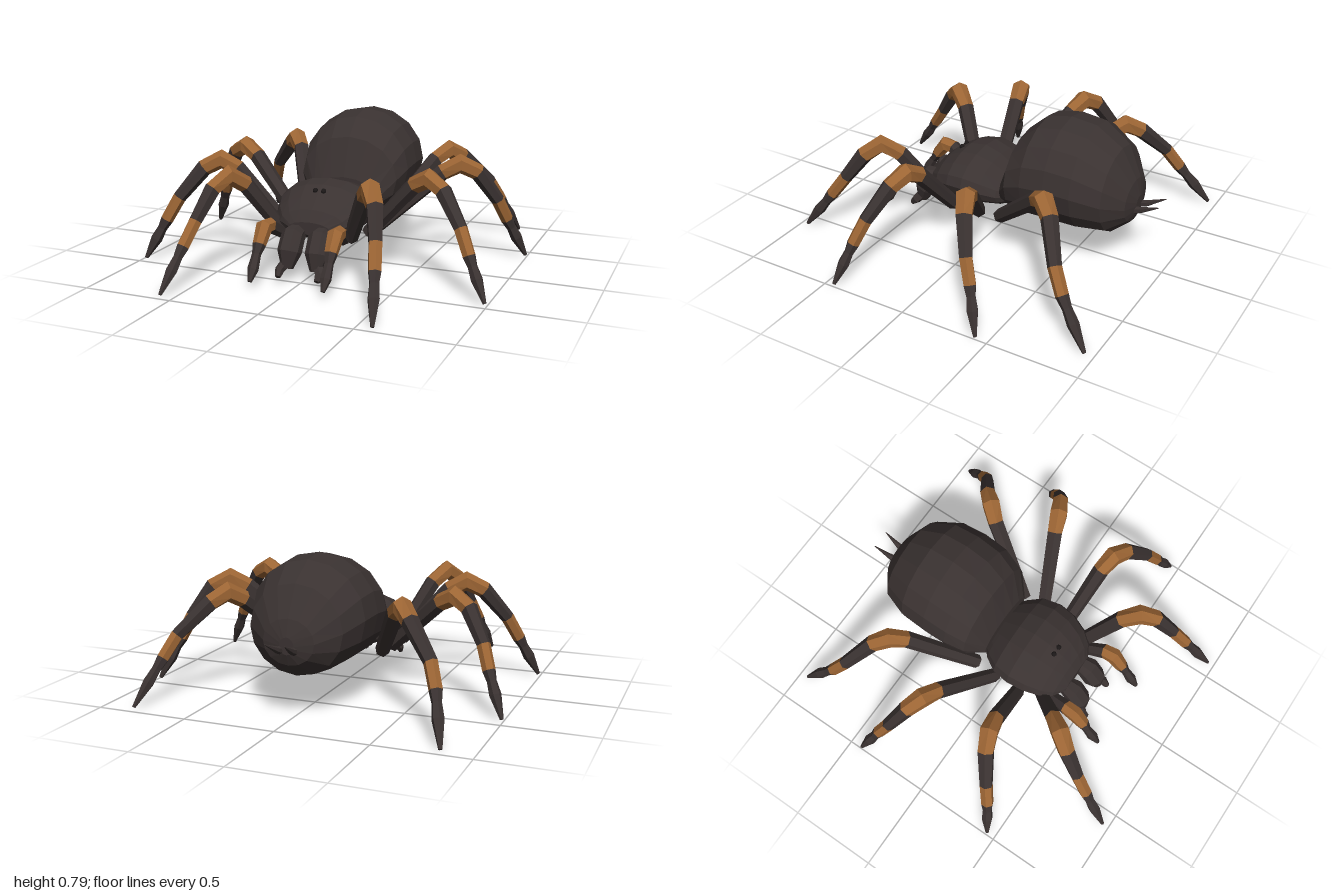
import * as THREE from 'three';

const dark = new THREE.MeshStandardMaterial({ name: 'dark brown', color: 0x3a3231, flatShading: true });
const orange = new THREE.MeshStandardMaterial({ name: 'orange brown', color: 0x9c6534, flatShading: true });
const black = new THREE.MeshStandardMaterial({ name: 'eye black', color: 0x1c1818, flatShading: true });

// Skin a list of rings (arrays of Vector3), optionally capping either end.
function skin(rings, capStart = true, capEnd = true) {
  const n = rings[0].length, pos = [], idx = [];
  rings.forEach(r => r.forEach(p => pos.push(p.x, p.y, p.z)));
  for (let i = 0; i < rings.length - 1; i++) {
    for (let j = 0; j < n; j++) {
      const k = (j + 1) % n, a = i * n, b = a + n;
      idx.push(a + j, a + k, b + k, a + j, b + k, b + j);
    }
  }
  const last = (rings.length - 1) * n;
  for (let j = 1; j < n - 1; j++) {
    if (capStart) idx.push(0, j + 1, j);
    if (capEnd) idx.push(last, last + j, last + j + 1);
  }
  const g = new THREE.BufferGeometry();
  g.setAttribute('position', new THREE.Float32BufferAttribute(pos, 3));
  g.setIndex(idx);
  g.computeVertexNormals();
  return g;
}

function addMesh(parent, name, geometry, material) {
  const m = new THREE.Mesh(geometry, material);
  m.name = name;
  parent.add(m);
  return m;
}

// Rings around a bent limb; each point is [x, y, z, radius], s mirrors x.
function limbRings(points, s, sides = 6) {
  const c = points.map(p => new THREE.Vector3(p[0] * s, p[1], p[2]));
  const run = c[c.length - 1].clone().sub(c[0]).setY(0).normalize();
  const side = new THREE.Vector3(0, 1, 0).cross(run).normalize();
  return c.map((p, i) => {
    const t = new THREE.Vector3();
    if (i > 0) t.add(p.clone().sub(c[i - 1]).normalize());
    if (i < c.length - 1) t.add(c[i + 1].clone().sub(p).normalize());
    const u = t.clone().cross(side).normalize();
    const v = u.clone().cross(t).normalize();
    return Array.from({ length: sides }, (_, j) => {
      const a = (j + 0.5) / sides * Math.PI * 2, r = points[i][3];
      return p.clone().addScaledVector(v, Math.cos(a) * r).addScaledVector(u, Math.sin(a) * r);
    });
  });
}

// Split a limb into coloured parts: [name, first ring, last ring, material].
function limb(name, points, s, parts) {
  const g = new THREE.Group();
  g.name = name;
  const rings = limbRings(points, s);
  for (const [part, a, b, mat] of parts) {
    addMesh(g, part, skin(rings.slice(a, b + 1), a === 0, b === rings.length - 1), mat);
  }
  return g;
}

// Body made of oval sections: [z, bottom, top, half width], back to front.
function body(sections, sides = 16) {
  return skin(sections.map(([z, lo, hi, w]) => Array.from({ length: sides }, (_, j) => {
    const a = j / sides * Math.PI * 2;
    return new THREE.Vector3(Math.cos(a) * w, (lo + hi) / 2 + Math.sin(a) * (hi - lo) / 2, z);
  })));
}

// Leg joints: hip, knee start, knee, knee end, band start, band end, tip
const legs = {
  frontLeg: [[.2, .22, .29], [.34, .5, .45], [.4, .565, .53], [.455, .5, .61], [.5, .35, .715], [.53, .23, .8], [.58, .012, .96]],
  secondLeg: [[.25, .22, .16], [.52, .52, .2], [.61, .57, .22], [.7, .52, .26], [.82, .355, .34], [.88, .23, .385], [.985, .012, .45]],
  thirdLeg: [[.25, .22, 0], [.57, .52, -.145], [.66, .57, -.18], [.75, .52, -.225], [.85, .355, -.295], [.895, .235, -.345], [.99, .012, -.43]],
  rearLeg: [[.24, .22, -.13], [.43, .52, -.46], [.49, .57, -.53], [.555, .52, -.6], [.7, .355, -.71], [.75, .24, -.78], [.83, .012, -.95]],
};
const legRadii = [.04, .047, .055, .047, .037, .035];

function legPoints(joints) {
  const pts = joints.slice(0, 6).map((p, i) => [...p, legRadii[i]]);
  const end = joints[5], tip = joints[6];
  // foot: narrow ankle, slight swelling, blunt tip
  for (const [t, r] of [[.22, .026], [.5, .032], [1, .01]]) {
    pts.push([...end.map((v, k) => v + (tip[k] - v) * t), r]);
  }
  return pts;
}

export function createModel() {
  const model = new THREE.Group();
  model.name = 'spider';

  addMesh(model, 'abdomen', body([
    [-.845, .35, .44, .04], [-.82, .29, .53, .14], [-.73, .215, .69, .255], [-.58, .2, .785, .315],
    [-.43, .2, .8, .325], [-.29, .2, .77, .32], [-.18, .21, .67, .29], [-.1, .23, .45, .2],
  ]), dark);

  addMesh(model, 'head', body([
    [-.16, .23, .34, .12], [-.08, .205, .4, .21], [0, .2, .46, .262], [.1, .195, .49, .28],
    [.2, .195, .475, .268], [.29, .2, .425, .235], [.35, .21, .37, .19], [.39, .24, .31, .12],
  ]), dark);

  for (const s of [1, -1]) {
    const sideName = s > 0 ? 'left' : 'right';
    for (const [name, joints] of Object.entries(legs)) {
      model.add(limb(`${sideName} ${name}`, legPoints(joints), s, [
        ['thigh', 0, 1, dark], ['knee', 1, 3, orange], ['shin', 3, 4, dark],
        ['band', 4, 5, orange], ['foot', 5, 8, dark],
      ]));
    }

    // short feelers beside the mouth
    model.add(limb(`${sideName} feeler`, [
      [.175, .22, .33, .035], [.2, .29, .45, .042], [.205, .295, .51, .046], [.205, .215, .57, .036],
      [.207, .17, .6, .024], [.207, .1, .645, .03], [.207, .045, .685, .012],
    ], s, [['upper', 0, 1, dark], ['joint', 1, 3, orange], ['tip', 3, 6, dark]]));

    // jaws and fangs
    addMesh(model, `${sideName} jaw`, skin(limbRings([
      [.075, .25, .34, .045], [.078, .235, .42, .066], [.08, .16, .465, .066], [.083, .075, .49, .032],
    ], s, 8)), dark);
    addMesh(model, `${sideName} fang`, skin(limbRings([
      [.09, .11, .48, .03], [.115, .07, .515, .026], [.112, .04, .545, .016],
    ], s)), dark);

    // spinnerets at the tail
    addMesh(model, `${sideName} spinneret`, skin(limbRings([
      [.037, .36, -.8, .024], [.04, .38, -.87, .018], [.053, .43, -.975, .002],
    ], s)), dark);

    const eye = addMesh(model, `${sideName} eye`, new THREE.SphereGeometry(.015, 8, 6), black);
    eye.position.set(s * .024, .45, .246);
  }
  return model;
}
